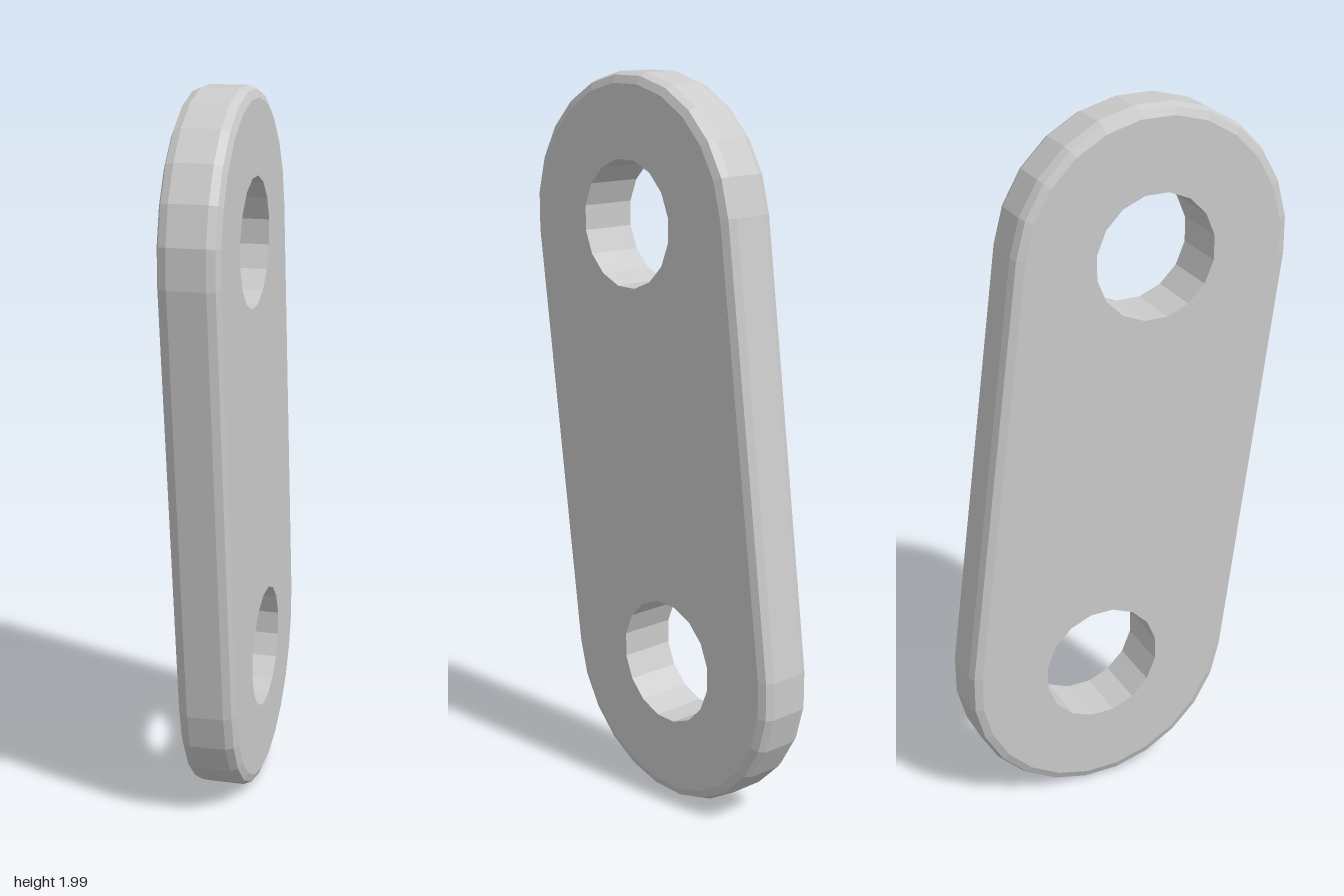
import * as THREE from 'three';

const TOP = new THREE.Vector2(0.08, 1.6), BOTTOM = new THREE.Vector2(-0.08, 0.4);
const OUTER = 0.4, HOLE = 0.173, THICK = 0.16, BEVEL = 0.03;

// Points along an arc around a centre
function arc(centre, radius, start, sweep, segments, count) {
  return Array.from({ length: count }, (_, i) => {
    const a = start + (sweep * i) / segments;
    return new THREE.Vector2(centre.x + radius * Math.cos(a), centre.y + radius * Math.sin(a));
  });
}

export function createModel() {
  const group = new THREE.Group();
  group.name = 'chainLinkPlate';

  // Slanted capsule outline: two half circles joined by straight sides
  const axis = TOP.clone().sub(BOTTOM).angle();
  const outline = new THREE.Shape([
    ...arc(TOP, OUTER, axis - Math.PI / 2, Math.PI, 12, 13),
    ...arc(BOTTOM, OUTER, axis + Math.PI / 2, Math.PI, 12, 13),
  ]);

  // Pin holes
  for (const c of [TOP, BOTTOM])
    outline.holes.push(new THREE.Path(arc(c, HOLE, Math.PI / 16, -Math.PI * 2, 16, 16)));

  const depth = THICK - 2 * BEVEL;
  const geometry = new THREE.ExtrudeGeometry(outline, {
    depth, bevelEnabled: true, bevelThickness: BEVEL, bevelSize: BEVEL,
    bevelOffset: -BEVEL, bevelSegments: 2, curveSegments: 1,
  });

  // Keep the hole walls straight: only the outer rim is rounded
  const pos = geometry.attributes.position, p = new THREE.Vector2();
  for (let i = 0; i < pos.count; i++) {
    for (const c of [TOP, BOTTOM]) {
      p.set(pos.getX(i), pos.getY(i)).sub(c);
      if (p.length() < 0.28) {
        p.setLength(HOLE).add(c);
        pos.setXY(i, p.x, p.y);
      }
    }
  }

  // Stand the plate in the yz plane
  geometry.translate(0, 0, -depth / 2);
  geometry.rotateY(-Math.PI / 2);
  geometry.computeVertexNormals();

  const plate = new THREE.Mesh(
    geometry,
    new THREE.MeshStandardMaterial({ color: 0xcccccc, flatShading: true })
  );
  plate.name = 'linkPlate';
  group.add(plate);
  return group;
}
